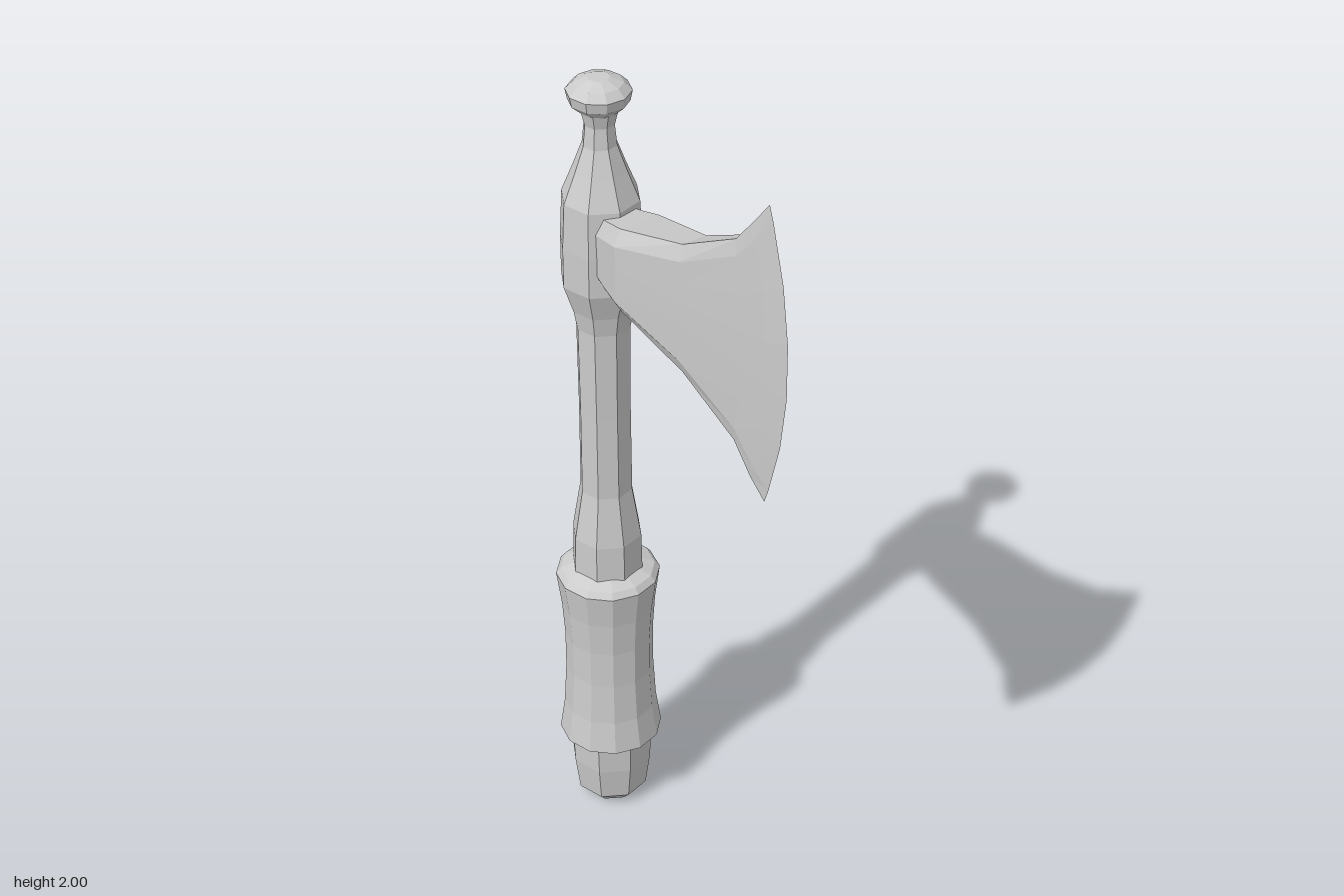
import * as THREE from 'three';

const mat = new THREE.MeshStandardMaterial({ color: 0xcccccc, flatShading: true, side: THREE.DoubleSide });

// Faceted turned part from [radius, y] pairs, bottom to top
function turned(name, sides, profile, turn = 0) {
  const geo = new THREE.LatheGeometry(profile.map(([r, y]) => new THREE.Vector2(r, y)), sides);
  geo.rotateY(turn);
  const mesh = new THREE.Mesh(geo, mat);
  mesh.name = name;
  return mesh;
}

// Blade lofted along +z; each station: [z at corners, z at middle, top y, bottom y, half thickness]
function blade() {
  const stations = [
    [0.04, 0.04, 1.69, 1.53, 0.055],
    [0.09, 0.09, 1.70, 1.515, 0.062],
    [0.15, 0.16, 1.715, 1.505, 0.072],
    [0.35, 0.37, 1.77, 1.45, 0.044],
    [0.515, 0.55, 1.86, 1.36, 0.02],
    [0.567, 0.62, 1.925, 1.29, 0.011],
    [0.608, 0.68, 1.98, 1.245, 0],
  ];
  const pos = [], index = [];
  for (const [zEnd, zMid, top, bottom, w] of stations) {
    const mid = (top + bottom) / 2, half = (top - bottom) / 2;
    // narrow rim, bevel, then flat cheek
    const b = 1 - 0.035 / half;
    const vs = [1, b, b * 0.6, b * 0.2, -b * 0.2, -b * 0.6, -b, -1];
    const side = vs.map((v) => [
      Math.abs(v) === 1 ? w * 0.7 : w,
      mid + half * v,
      zMid + (zEnd - zMid) * v * v,
    ]);
    const mirrored = side.map(([x, y, z]) => [-x, y, z]).reverse();
    [...side, ...mirrored].forEach((p) => pos.push(...p));
  }
  const n = 16;
  for (let i = 0; i < stations.length - 1; i++) {
    for (let k = 0; k < n; k++) {
      const a = i * n + k, b = i * n + (k + 1) % n;
      index.push(a, a + n, b + n, a, b + n, b);
    }
  }
  const geo = new THREE.BufferGeometry();
  geo.setAttribute('position', new THREE.Float32BufferAttribute(pos, 3));
  geo.setIndex(index);
  geo.computeVertexNormals();
  const mesh = new THREE.Mesh(geo, mat);
  mesh.name = 'blade';
  return mesh;
}

export function createModel() {
  const axe = new THREE.Group();
  axe.name = 'axe';
  const eighth = Math.PI / 8;

  // Squarish butt below the grip
  axe.add(turned('butt', 8, [[0, 0], [0.06, 0], [0.088, 0.03], [0.1, 0.12], [0.104, 0.21]], eighth));

  // Waisted grip with flared ends
  axe.add(turned('grip', 12, [
    [0.09, 0.185], [0.124, 0.205], [0.112, 0.29], [0.106, 0.4], [0.106, 0.5],
    [0.112, 0.59], [0.124, 0.68], [0.112, 0.695], [0.075, 0.71],
  ], Math.PI / 12));

  // Collar and straight shaft
  axe.add(turned('shaft', 8, [
    [0.086, 0.69], [0.084, 0.8], [0.076, 0.85], [0.063, 0.93], [0.062, 1.15], [0.064, 1.4],
  ], eighth));

  // Swollen socket narrowing to a neck
  axe.add(turned('socket', 8, [
    [0.064, 1.38], [0.073, 1.43], [0.096, 1.5], [0.096, 1.6], [0.09, 1.71],
    [0.062, 1.78], [0.04, 1.84], [0.035, 1.89], [0.045, 1.93],
  ], eighth));

  // Rounded knob on top
  axe.add(turned('knob', 10, [
    [0.04, 1.92], [0.068, 1.945], [0.073, 1.97], [0.055, 1.988], [0.025, 2], [0, 2],
  ]));

  // Blade, swung slightly to one side
  const head = blade();
  head.rotation.y = -0.278;
  axe.add(head);

  axe.children.forEach((part) => part.position.set(0.032, 0, -0.265));
  return axe;
}
